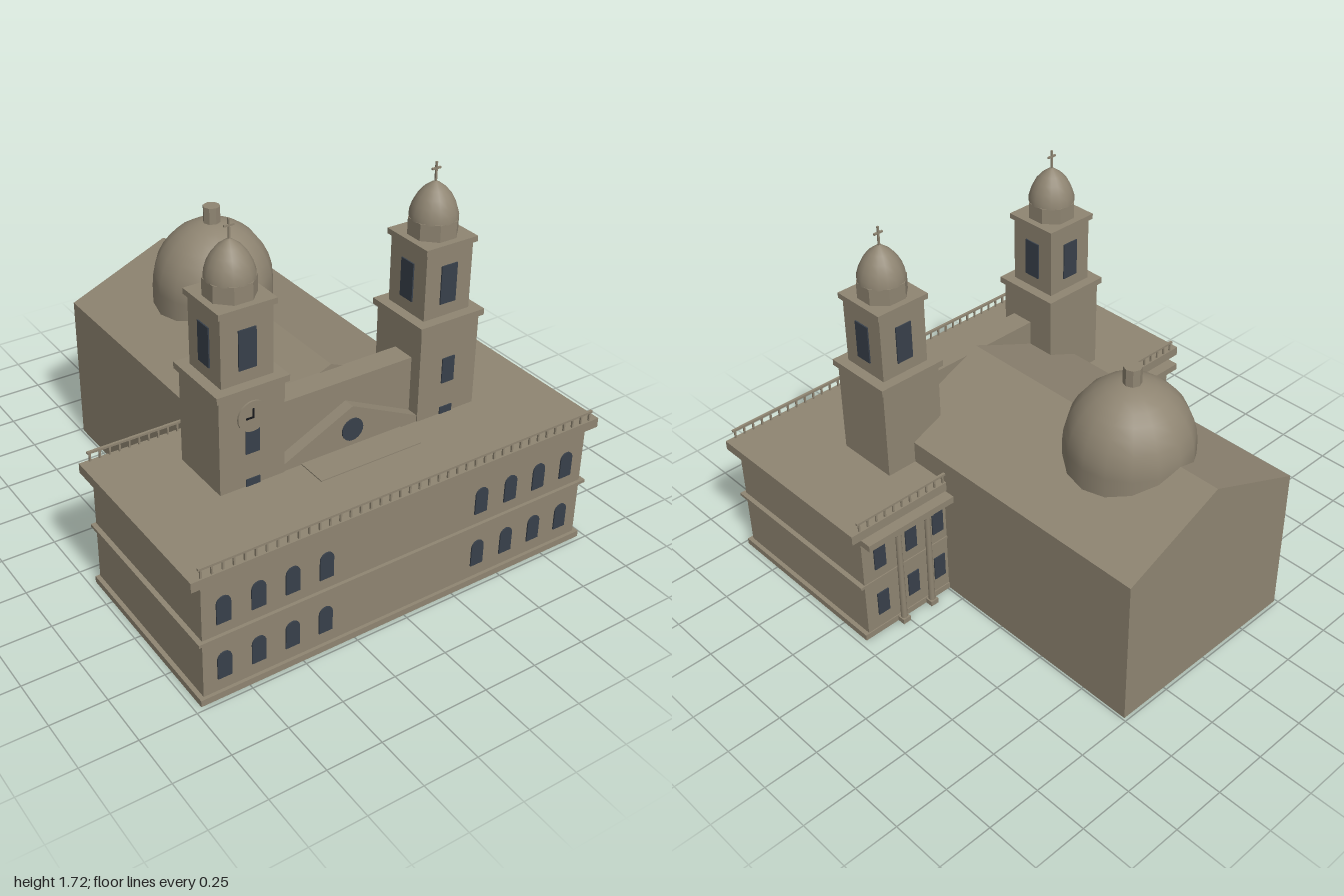
import * as THREE from 'three';

export function createModel() {
  const root = new THREE.Group();
  root.name = 'twinTowerChurch';
  const stone = new THREE.MeshStandardMaterial({ color: 0x8f8572 });
  stone.name = 'stone';
  const glass = new THREE.MeshStandardMaterial({ color: 0x38404a });
  glass.name = 'darkGlass';
  const iron = new THREE.MeshStandardMaterial({ color: 0x16181b });
  iron.name = 'blackIron';

  const add = (parent, name, geo, mat = stone) => {
    const mesh = new THREE.Mesh(geo, mat);
    mesh.name = name;
    parent.add(mesh);
    return mesh;
  };
  // box from its minimum and maximum on each axis
  const box = (parent, name, x0, x1, y0, y1, z0, z1, mat) =>
    add(parent, name, new THREE.BoxGeometry(x1 - x0, y1 - y0, z1 - z0), mat)
      .position.set((x0 + x1) / 2, (y0 + y1) / 2, (z0 + z1) / 2);
  // outline in x and y, extruded from z0 to z1
  const prism = (parent, name, points, z0, z1) => {
    const shape = new THREE.Shape(points.map(([x, y]) => new THREE.Vector2(x, y)));
    const geo = new THREE.ExtrudeGeometry(shape, { depth: z1 - z0, bevelEnabled: false });
    geo.translate(0, 0, z0);
    return add(parent, name, geo);
  };
  const faceted = (r, h, n) => new THREE.CylinderGeometry(r, r, h, n).toNonIndexed();
  const flat = (geo) => { geo.computeVertexNormals(); return geo; };

  // front block with plinth, string course and roof slab
  box(root, 'frontBlock', -0.95, 0.95, 0, 0.58, 0.1, 0.965);
  box(root, 'plinth', -0.97, 0.97, 0, 0.03, 0.095, 0.98);
  box(root, 'stringCourse', -0.972, 0.972, 0.293, 0.307, 0.095, 0.98);
  box(root, 'roofSlab', -1, 1, 0.573, 0.617, 0.085, 0.985);

  // arched front windows
  const arch = new THREE.Shape();
  arch.moveTo(-0.032, 0);
  arch.lineTo(0.032, 0);
  arch.lineTo(0.032, 0.093);
  arch.absarc(0, 0.093, 0.032, 0, Math.PI, false);
  const archGeo = new THREE.ExtrudeGeometry(arch, { depth: 0.006, bevelEnabled: false, curveSegments: 8 });
  for (const side of [-1, 1])
    for (const x of [0.388, 0.545, 0.7, 0.855])
      for (const y of [0.09, 0.36])
        add(root, 'archedWindow', archGeo, glass).position.set(side * x, y, 0.965);

  // balustrades along the front and the two rear edges
  const balustrade = (x0, x1, z, count) => {
    const g = new THREE.Group();
    g.name = 'balustrade';
    root.add(g);
    box(g, 'handrail', x0, x1, 0.654, 0.664, z - 0.006, z + 0.006);
    for (let i = 0; i < count; i++) {
      const x = x0 + 0.012 + (x1 - x0 - 0.024) * i / (count - 1);
      box(g, 'baluster', x - 0.004, x + 0.004, 0.617, 0.655, z - 0.004, z + 0.004);
    }
  };
  balustrade(-0.965, 0.965, 0.975, 41);
  balustrade(-0.965, -0.49, 0.094, 11);
  balustrade(0.49, 0.965, 0.094, 11);

  // colonnades on the rear of each wing
  for (const side of [-1, 1]) {
    const g = new THREE.Group();
    g.name = 'rearColonnade';
    root.add(g);
    const span = (a, b) => (side > 0 ? [a, b] : [-b, -a]);
    box(g, 'entablature', ...span(0.48, 0.95), 0.533, 0.565, 0.04, 0.11);
    for (const x of [0.61, 0.77]) {
      add(g, 'columnShaft', new THREE.CylinderGeometry(0.013, 0.015, 0.5, 12)).position.set(side * x, 0.265, 0.078);
      box(g, 'columnBase', ...span(x - 0.02, x + 0.02), 0, 0.025, 0.058, 0.1);
      box(g, 'columnCapital', ...span(x - 0.02, x + 0.02), 0.51, 0.533, 0.058, 0.1);
    }
    for (const x of [0.54, 0.69, 0.86])
      for (const y of [0.1, 0.36])
        box(g, 'rearWindow', ...span(x - 0.03, x + 0.03), y, y + 0.12, 0.094, 0.1, glass);
  }

  // nave with a pitched roof
  prism(root, 'nave', [[-0.49, 0], [0.49, 0], [0.49, 0.72], [0, 0.93], [-0.49, 0.72]], -0.985, 0.425);

  // facade wall, pediment, round window and porch roof
  box(root, 'facadeWall', -0.34, 0.34, 0.6, 0.905, 0.42, 0.53);
  prism(root, 'pediment', [[-0.335, 0.6], [0.335, 0.6], [0.335, 0.648], [0, 0.81], [-0.335, 0.648]], 0.52, 0.583);
  const rose = add(root, 'roundWindow', new THREE.CylinderGeometry(0.052, 0.052, 0.008, 20), glass);
  rose.rotation.x = Math.PI / 2;
  rose.position.set(0, 0.7, 0.585);
  box(root, 'porchRoof', -0.25, 0.25, 0.61, 0.622, 0.58, 0.725);

  // bell towers, built around their own axis
  for (const side of [-1, 1]) {
    const t = new THREE.Group();
    t.name = side > 0 ? 'leftTower' : 'rightTower';
    t.position.set(side * 0.485, 0, 0.438);
    root.add(t);
    const tier = (name, half, y0, y1) => box(t, name, -half, half, y0, y1, -half, half);
    tier('towerBase', 0.15, 0.6, 1.05);
    tier('lowerCornice', 0.165, 1.048, 1.077);
    tier('belfry', 0.118, 1.077, 1.385);
    tier('upperCornice', 0.131, 1.383, 1.408);
    box(t, 'upperWindow', -0.032, 0.032, 0.77, 0.89, 0.15, 0.155, glass);
    box(t, 'lowerWindow', -0.032, 0.032, 0.617, 0.65, 0.15, 0.155, glass);
    for (let i = 0; i < 4; i++) {
      const face = new THREE.Group();
      face.name = 'belfryFace';
      face.rotation.y = i * Math.PI / 2;
      t.add(face);
      box(face, 'belfryWindow', -0.04, 0.04, 1.135, 1.31, 0.118, 0.124, glass);
    }
    const drum = add(t, 'cupolaDrum', flat(faceted(0.108, 0.076, 8)));
    drum.position.y = 1.444;
    drum.rotation.y = Math.PI / 8;
    const profile = [[0.103, 1.478], [0.101, 1.505], [0.09, 1.54], [0.072, 1.575], [0.047, 1.605], [0.018, 1.627], [0, 1.636]];
    add(t, 'cupola', new THREE.LatheGeometry(profile.map(([r, y]) => new THREE.Vector2(r, y)), 16));
    box(t, 'crossPost', -0.004, 0.004, 1.625, 1.717, -0.004, 0.004);
    box(t, 'crossArm', -0.022, 0.022, 1.684, 1.692, -0.004, 0.004);

    // clock on the right tower
    if (side < 0) {
      const dial = add(t, 'clockDial', new THREE.CylinderGeometry(0.068, 0.068, 0.008, 24));
      dial.rotation.x = Math.PI / 2;
      dial.position.set(0, 0.94, 0.154);
      box(t, 'minuteHand', -0.004, 0.004, 0.933, 0.977, 0.158, 0.161, iron);
      box(t, 'hourHand', -0.032, 0.004, 0.933, 0.941, 0.158, 0.161, iron);
    }
  }

  // main dome on its drum, with a lantern
  const dome = new THREE.Group();
  dome.name = 'mainDome';
  dome.position.z = -0.515;
  root.add(dome);
  add(dome, 'domeDrum', new THREE.CylinderGeometry(0.278, 0.278, 0.2, 16)).position.y = 0.81;
  const shell = add(dome, 'domeShell', new THREE.SphereGeometry(0.278, 16, 8, 0, Math.PI * 2, 0, Math.PI / 2));
  shell.scale.y = 1.07;
  shell.position.y = 0.91;
  add(dome, 'lantern', flat(faceted(0.04, 0.1, 8))).position.y = 1.231;

  return root;
}
